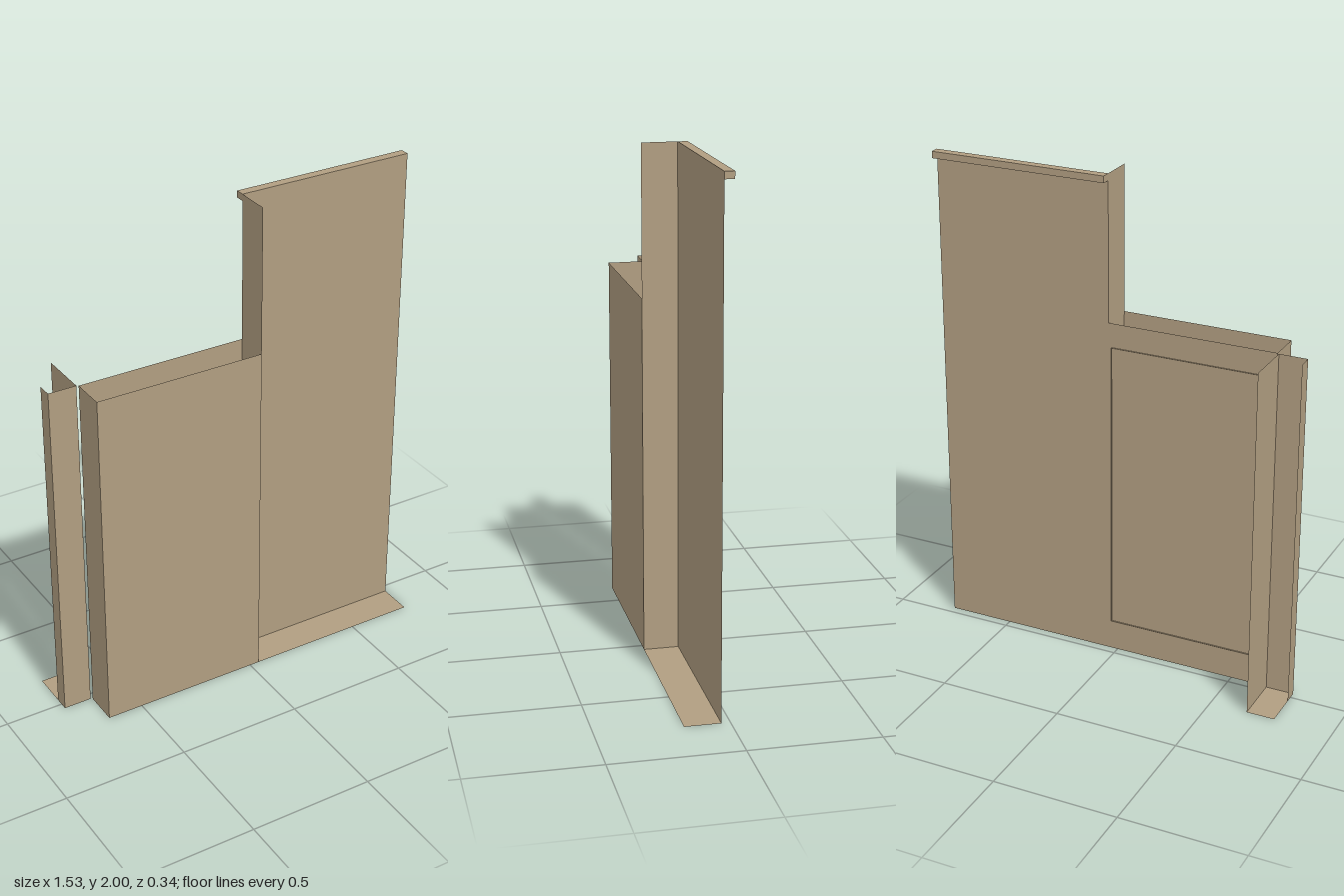
import * as THREE from 'three';

const H = 1.415;   // height of the low section
const BACK = 0.034, FRONT = 0.172, REAR = -0.172;

export function createModel() {
  const model = new THREE.Group();
  model.name = 'partitionPanels';
  const tan = new THREE.MeshStandardMaterial({ color: 0xb19e81, side: THREE.DoubleSide });
  tan.name = 'warm tan';

  const add = (parent, name, geometry) => {
    const mesh = new THREE.Mesh(geometry, tan);
    mesh.name = name;
    parent.add(mesh);
    return mesh;
  };

  // flat sheets: wall across x, wall across z, and floor
  const wallX = (parent, name, x0, x1, y0, y1, z) =>
    add(parent, name, new THREE.PlaneGeometry(x1 - x0, y1 - y0)
      .translate((x0 + x1) / 2, (y0 + y1) / 2, z));
  const wallZ = (parent, name, z0, z1, y0, y1, x) =>
    add(parent, name, new THREE.PlaneGeometry(z1 - z0, y1 - y0)
      .rotateY(Math.PI / 2).translate(x, (y0 + y1) / 2, (z0 + z1) / 2));
  const floor = (parent, name, x0, x1, z0, z1, y = 0) =>
    add(parent, name, new THREE.PlaneGeometry(x1 - x0, z1 - z0)
      .rotateX(-Math.PI / 2).translate((x0 + x1) / 2, y, (z0 + z1) / 2));

  const section = (name) => {
    const group = new THREE.Group();
    group.name = name;
    model.add(group);
    return group;
  };

  // tall bay, open to the front and at its outer end
  const tall = section('tallBay');
  wallX(tall, 'tallBackPanel', 0.04, 0.765, 0, 2, BACK);
  wallZ(tall, 'tallSideWall', BACK, FRONT, 0, 2, 0.04);
  floor(tall, 'tallFloor', 0.04, 0.765, BACK, FRONT);
  add(tall, 'topTrim', new THREE.BoxGeometry(0.725, 0.027, 0.037)
    .translate(0.4025, 1.9865, 0.0155));

  // low bay, open at the top
  const low = section('lowBay');
  wallX(low, 'lowFrontPanel', -0.645, 0.04, 0, H, FRONT);
  wallX(low, 'lowBackPanel', -0.645, 0.04, 0, H, BACK);
  wallZ(low, 'lowEndWall', BACK, FRONT, 0, H, -0.645);
  floor(low, 'lowFloor', -0.645, 0.04, BACK, FRONT);

  // shallow raised lip framing the low back panel
  const lip = section('backPanelLip');
  for (const x of [-0.612, 0.026]) wallZ(lip, 'lipSide', 0.028, BACK, 0.127, 1.317, x);
  for (const y of [0.127, 1.317]) floor(lip, 'lipRail', -0.612, 0.026, 0.028, BACK, y);

  // narrow return behind the low bay, open to the rear
  const post = section('narrowReturn');
  wallZ(post, 'returnSideWall', REAR, 0.029, 0, H, -0.652);
  wallX(post, 'returnFrontWall', -0.765, -0.652, 0, H, 0.029);
  wallZ(post, 'returnFlange', -0.03, 0.029, 0, H, -0.765);
  floor(post, 'returnFloor', -0.765, -0.652, REAR, 0.029);

  // shallow raised lip framing the return side wall
  const sideLip = section('returnLip');
  for (const z of [-0.138, 0]) wallX(sideLip, 'lipSide', -0.652, -0.646, 0.127, 1.317, z);
  for (const y of [0.127, 1.317]) floor(sideLip, 'lipRail', -0.652, -0.646, -0.138, 0, y);

  return model;
}
